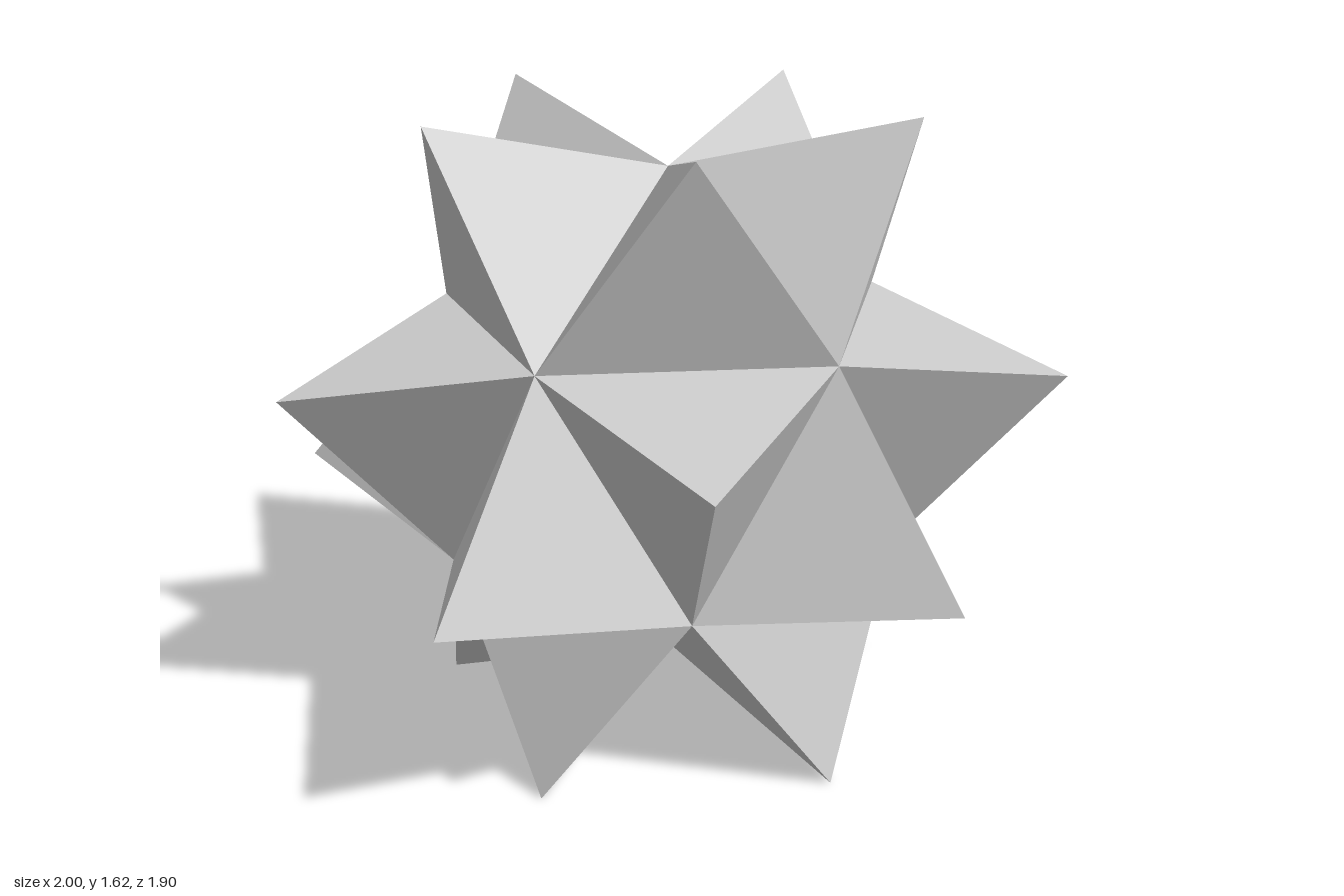
import * as THREE from 'three';

const CENTRE_Y = 0.809;   // height of the star's middle
const CORE_R = 0.6625;    // radius of the icosahedral core's corners
const TIP_R = 1.0181;     // radius of the spike tips

// Corner of the core on one of its two five-point rings
function ringPoint(step, side) {
  const a = step * Math.PI / 5;
  const r = CORE_R * 2 / Math.sqrt(5);
  return new THREE.Vector3(r * Math.cos(a), side * CORE_R / Math.sqrt(5), r * Math.sin(a));
}

// Open three-sided pyramid standing on one triangle of the core
function makeSpike(corners, material) {
  let [a, b, c] = corners;
  const middle = a.clone().add(b).add(c);
  const normal = b.clone().sub(a).cross(c.clone().sub(a));
  if (normal.dot(middle) < 0) [b, c] = [c, b];
  const tip = middle.setLength(TIP_R);
  const geometry = new THREE.BufferGeometry().setFromPoints([a, b, tip, b, c, tip, c, a, tip]);
  geometry.computeVertexNormals();
  return new THREE.Mesh(geometry, material);
}

export function createModel() {
  const model = new THREE.Group();
  model.name = 'spikedStar';
  const star = new THREE.Group();
  star.name = 'spikes';
  star.position.y = CENTRE_Y;
  model.add(star);
  const material = new THREE.MeshStandardMaterial({ color: 0xcccccc, flatShading: true });

  const add = (name, corners) => {
    const spike = makeSpike(corners, material);
    spike.name = name;
    star.add(spike);
  };

  // Upper half uses even steps for its ring, lower half the odd steps
  for (const side of [1, -1]) {
    const half = side > 0 ? 'upper' : 'lower';
    const pole = new THREE.Vector3(0, side * CORE_R, 0);
    for (let k = 0; k < 5; k++) {
      const step = 2 * k + (side > 0 ? 0 : 1);
      const p = ringPoint(step, side);
      const q = ringPoint(step + 2, side);
      add(`${half}PoleSpike${k + 1}`, [pole, p, q]);
      add(`${half}SideSpike${k + 1}`, [p, q, ringPoint(step + 1, -side)]);
    }
  }
  return model;
}
